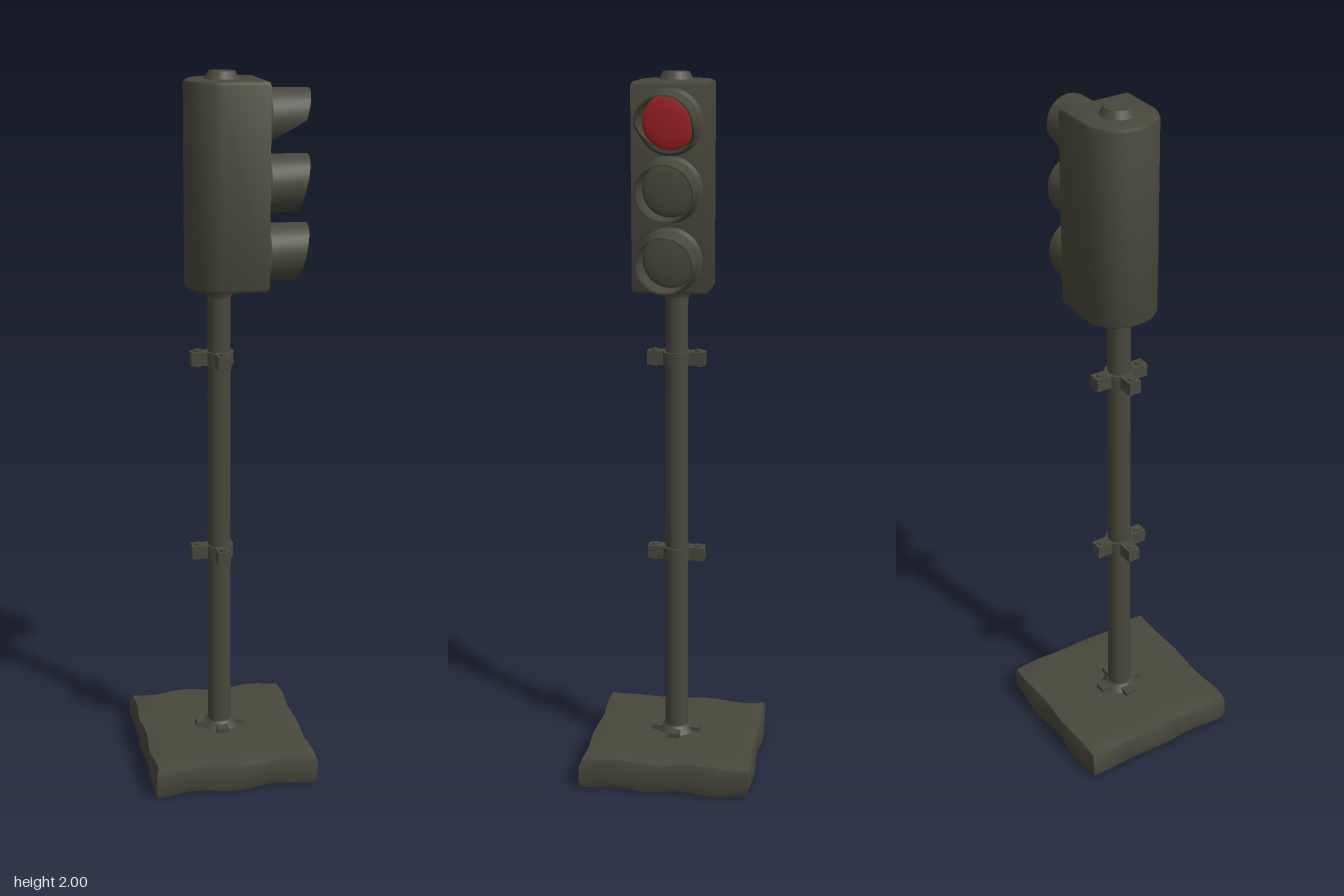
import * as THREE from 'three';
import { mergeVertices, toCreasedNormals } from 'three/addons/utils/BufferGeometryUtils.js';

const body = new THREE.MeshStandardMaterial({ color: 0x48483c });
body.name = 'dark olive metal';
const red = new THREE.MeshStandardMaterial({ color: 0x9c2022 });
red.name = 'red lens';

const POLE_X = -0.007;

function add(parent, name, geometry, material, x = 0, y = 0, z = 0) {
  const mesh = new THREE.Mesh(geometry, material);
  mesh.name = name;
  mesh.position.set(x, y, z);
  parent.add(mesh);
  return mesh;
}

// Move vertices by a rule, then rebuild the normals
function reshape(geometry, rule, crease = 0.7) {
  geometry.deleteAttribute('uv');
  geometry.deleteAttribute('normal');
  const g = mergeVertices(geometry, 1e-5);
  const p = g.attributes.position;
  const v = new THREE.Vector3();
  for (let i = 0; i < p.count; i++) {
    rule(v.fromBufferAttribute(p, i));
    p.setXYZ(i, v.x, v.y, v.z);
  }
  return toCreasedNormals(g, crease);
}

// Worn slab with uneven edges
function slabGeometry() {
  return reshape(new THREE.BoxGeometry(0.468, 0.095, 0.486, 14, 4, 14), (v) => {
    const { x, y, z } = v;
    const rim = Math.max(Math.abs(x) / 0.234, Math.abs(z) / 0.243) > 0.99;
    if (!rim) return;
    const edge = Math.abs(y) > 0.04 ? 0.975 : 1;
    v.x = x * edge + 0.004 * Math.sin(z * 31 + y * 20) - 0.004;
    v.z = z * edge + 0.004 * Math.sin(x * 27 + 1 - y * 20);
    if (y > 0.04) v.y -= 0.005 + 0.003 * Math.sin(x * 30 + z * 23);
    if (y < -0.04) v.y += 0.005 + 0.004 * Math.sin(x * 25 - z * 33);
  });
}

// Housing: flat front at +x, rounded back corners
function housingGeometry() {
  const b = 0.012, x0 = -0.1 + b, x1 = 0.112 - b, w = 0.104 - b, r = 0.07;
  const s = new THREE.Shape();
  s.moveTo(x1, -w);
  s.lineTo(x1, w);
  s.lineTo(x0 + r, w);
  s.quadraticCurveTo(x0 + 0.012, w - 0.012, x0, w - r);
  s.lineTo(x0, -w + r);
  s.quadraticCurveTo(x0 + 0.012, -w + 0.012, x0 + r, -w);
  s.closePath();
  const g = new THREE.ExtrudeGeometry(s, {
    depth: 0.56 - 2 * b, bevelSize: b, bevelThickness: b, bevelSegments: 2, curveSegments: 8,
  });
  g.rotateX(-Math.PI / 2);
  g.translate(0, 1.42 + b, 0);
  return toCreasedNormals(g, 0.6);
}

// Thin-walled hood whose open end is cut by a rule of height t (-1 bottom, 1 top)
function visorGeometry(cut) {
  const profile = [[0.08, 0.1], [0.078, 0.2], [0.073, 0.2], [0.074, 0.1]]
    .map(([r, h]) => new THREE.Vector2(r, h));
  const g = new THREE.LatheGeometry(profile, 28);
  g.rotateZ(-Math.PI / 2);
  return reshape(g, (v) => {
    if (v.x > 0.15) v.x = cut(v.y / Math.hypot(v.y, v.z));
  });
}

// Short half hood over the top lens, longer sleeves over the others
const hoodCut = (t) => (t > 0 ? 0.215 + 0.022 * t : Math.max(0.12, 0.215 + 0.13 * t));
const sleeveCut = (t) => 0.219 + 0.018 * t;

function lensGeometry() {
  const g = new THREE.SphereGeometry(0.074, 24, 6, 0, Math.PI * 2, 0, Math.PI / 2);
  g.rotateZ(-Math.PI / 2);
  g.scale(0.16, 1, 1);
  return g;
}

// Clamp with lugs at both sides and at the back
function bracket(name, y) {
  const g = new THREE.Group();
  g.name = name;
  g.position.set(POLE_X, y, 0);
  add(g, 'clampRing', new THREE.CylinderGeometry(0.041, 0.041, 0.036, 16), body);
  for (let i = 0; i < 3; i++) {
    const lug = new THREE.Group();
    lug.name = 'lug';
    lug.rotation.y = Math.PI / 2 + (i * Math.PI) / 2;
    add(lug, 'lugArm', new THREE.BoxGeometry(0.054, 0.038, 0.036), body, 0.054);
    add(lug, 'lugBolt', new THREE.CylinderGeometry(0.011, 0.011, 0.048, 8), body, 0.062);
    g.add(lug);
  }
  return g;
}

export function createModel() {
  const model = new THREE.Group();
  model.name = 'trafficLight';

  // Base and pole
  add(model, 'baseSlab', slabGeometry(), body, 0, 0.0475, 0);
  add(model, 'pole', new THREE.CylinderGeometry(0.032, 0.034, 1.34, 20), body, POLE_X, 0.76);
  add(model, 'poleFoot', new THREE.CylinderGeometry(0.036, 0.055, 0.022, 16), body, POLE_X, 0.105);
  for (let i = 0; i < 4; i++) {
    const a = (i * Math.PI) / 2;
    const lug = add(model, 'footLug', new THREE.BoxGeometry(0.05, 0.018, 0.036), body,
      POLE_X + 0.045 * Math.cos(a), 0.1, -0.045 * Math.sin(a));
    lug.rotation.y = a;
  }
  model.add(bracket('lowerBracket', 0.65), bracket('upperBracket', 1.222));

  // Signal head
  const head = new THREE.Group();
  head.name = 'signalHead';
  model.add(head);
  add(head, 'neck', new THREE.CylinderGeometry(0.046, 0.036, 0.03, 16), body, POLE_X, 1.41);
  add(head, 'housing', housingGeometry(), body);
  add(head, 'topCap', new THREE.CylinderGeometry(0.036, 0.05, 0.024, 16), body, 0, 1.988);

  // Lenses, each with a collar and a visor
  [['top', 1.875, hoodCut, red], ['middle', 1.7, sleeveCut, body], ['bottom', 1.512, sleeveCut, body]]
    .forEach(([name, y, cut, lensMaterial]) => {
      add(head, name + 'Visor', visorGeometry(cut), body, 0, y);
      add(head, name + 'Lens', lensGeometry(), lensMaterial, 0.113, y);
      const collar = new THREE.CylinderGeometry(0.08, 0.09, 0.014, 28, 1, true);
      collar.rotateZ(-Math.PI / 2);
      add(head, name + 'Collar', collar, body, 0.117, y);
    });

  return model;
}
